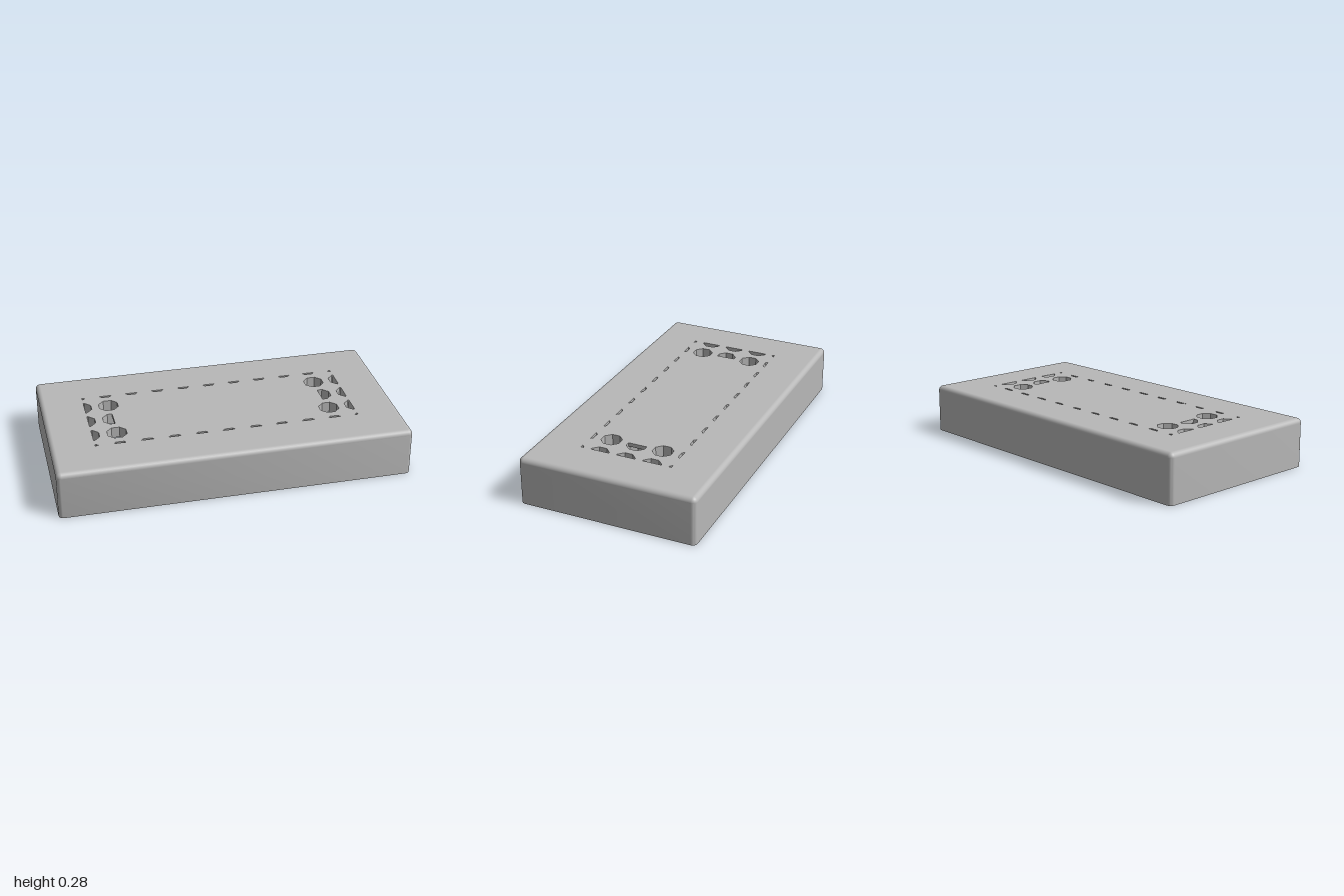
import * as THREE from 'three';
import { toCreasedNormals } from 'three/addons/utils/BufferGeometryUtils.js';

const W = 1, D = 0.515, H = 0.277;      // half width, half depth, height
const R = 0.028, WALL = 0.045;          // edge rounding, wall thickness
const CEILING = 0.213, CAP = 0.255;     // underside of the roof, underside of its thin skin
const PITCH = 0.154, FLAT = 0.0545;     // vent spacing, half width of a vent
const VX = 0.755, VZ = 0.267, PLATE_X = 0.61; // vent field and closed middle

// Points of a rounded rectangle, counterclockwise, with their angles
function roundedRect(hw, hd, r, seg = 6) {
  const out = [];
  [[1, 1], [-1, 1], [-1, -1], [1, -1]].forEach(([sx, sy], c) => {
    for (let i = 0; i <= seg; i++) {
      const a = (c + i / seg) * Math.PI / 2;
      out.push({ cx: sx * (hw - r), cy: sy * (hd - r), a });
    }
  });
  return out;
}
const toPoints = (list, r) => list.map(p => new THREE.Vector2(p.cx + r * Math.cos(p.a), p.cy + r * Math.sin(p.a)));
const rect = (x, y) => [[x, y], [-x, y], [-x, -y], [x, -y]].map(p => new THREE.Vector2(...p));

// Keeps the part of a convex polygon where sign * p[axis] <= limit
function clip(poly, axis, sign, limit) {
  const out = [];
  poly.forEach((p, i) => {
    const q = poly[(i + 1) % poly.length];
    const dp = sign * p[axis] - limit, dq = sign * q[axis] - limit;
    if (dp <= 0) out.push(p);
    if (dp * dq < 0) out.push(p.clone().lerp(q, dp / (dp - dq)));
  });
  return out;
}

// Octagonal vent trimmed to the vent field
function vent(i, j) {
  let poly = [];
  for (let k = 0; k < 8; k++) {
    const a = (k + 0.5) * Math.PI / 4, r = FLAT / Math.cos(Math.PI / 8);
    poly.push(new THREE.Vector2(i * PITCH + r * Math.cos(a), j * PITCH + r * Math.sin(a)));
  }
  for (const s of [1, -1]) poly = clip(clip(poly, 'x', s, VX), 'y', s, VZ);
  return poly;
}

// Upright slab with holes between two heights
function slab(points, holes, y0, y1) {
  const shape = new THREE.Shape(points);
  shape.holes = holes.map(h => new THREE.Path(h));
  const g = new THREE.ExtrudeGeometry(shape, { depth: y1 - y0, bevelEnabled: false });
  return g.rotateX(-Math.PI / 2).translate(0, y0, 0);
}

// Rounded band joining the walls to the roof
function filletBand(seg = 6) {
  const ring = roundedRect(W, D, R), n = ring.length;
  const pos = [], nor = [], idx = [];
  for (let j = 0; j <= seg; j++) {
    const f = j / seg * Math.PI / 2;
    for (const p of ring) {
      const v = [Math.cos(p.a) * Math.cos(f), Math.sin(f), -Math.sin(p.a) * Math.cos(f)];
      nor.push(...v);
      pos.push(p.cx + R * v[0], H - R + R * v[1], -p.cy + R * v[2]);
    }
  }
  for (let j = 0; j < seg; j++) for (let i = 0; i < n; i++) {
    const a = j * n + i, b = j * n + (i + 1) % n;
    idx.push(a, b, b + n, a, b + n, a + n);
  }
  const g = new THREE.BufferGeometry();
  g.setAttribute('position', new THREE.Float32BufferAttribute(pos, 3));
  g.setAttribute('normal', new THREE.Float32BufferAttribute(nor, 3));
  g.setIndex(idx);
  return g;
}

export function createModel() {
  const group = new THREE.Group();
  const grey = new THREE.MeshStandardMaterial({ color: 0xb8b8b8 });
  grey.name = 'plain grey';
  const add = (name, geometry) => {
    const m = new THREE.Mesh(geometry, grey);
    m.name = name;
    group.add(m);
    return m;
  };

  // Side walls, open at the bottom
  const inner = toPoints(roundedRect(W - WALL, D - WALL, 0.015), 0.015);
  const walls = slab(toPoints(roundedRect(W, D, R), R), [inner], 0, H - R);
  add('walls', toCreasedNormals(walls, 0.6));
  add('roundedTopEdge', filletBand());

  // Vents: all go up from below, only the outer ones break through the top
  const pockets = [], openings = [];
  for (let i = -5; i <= 5; i++) for (let j = -2; j <= 2; j++) {
    const v = vent(i, j);
    pockets.push(v);
    const edge = Math.abs(i) === 5 || Math.abs(j) === 2;
    const corner = Math.abs(i) === 4 && Math.abs(j) === 1;
    if (edge || corner) openings.push(v);
    else if (Math.abs(i) === 4) openings.push(clip(v, 'x', -Math.sign(i), -PLATE_X));
  }
  add('ventedCeiling', slab(rect(W - 0.035, D - 0.035), pockets, CEILING, CAP));
  add('topSkin', slab(rect(W - R, D - R), openings, CAP, H));

  // Snap bumps inside the long walls
  for (const x of [-0.5, 0.5]) for (const s of [-1, 1]) {
    add('snapBump', new THREE.SphereGeometry(0.03, 20, 14)).position.set(x, 0.095, s * (D - WALL));
  }
  return group;
}
